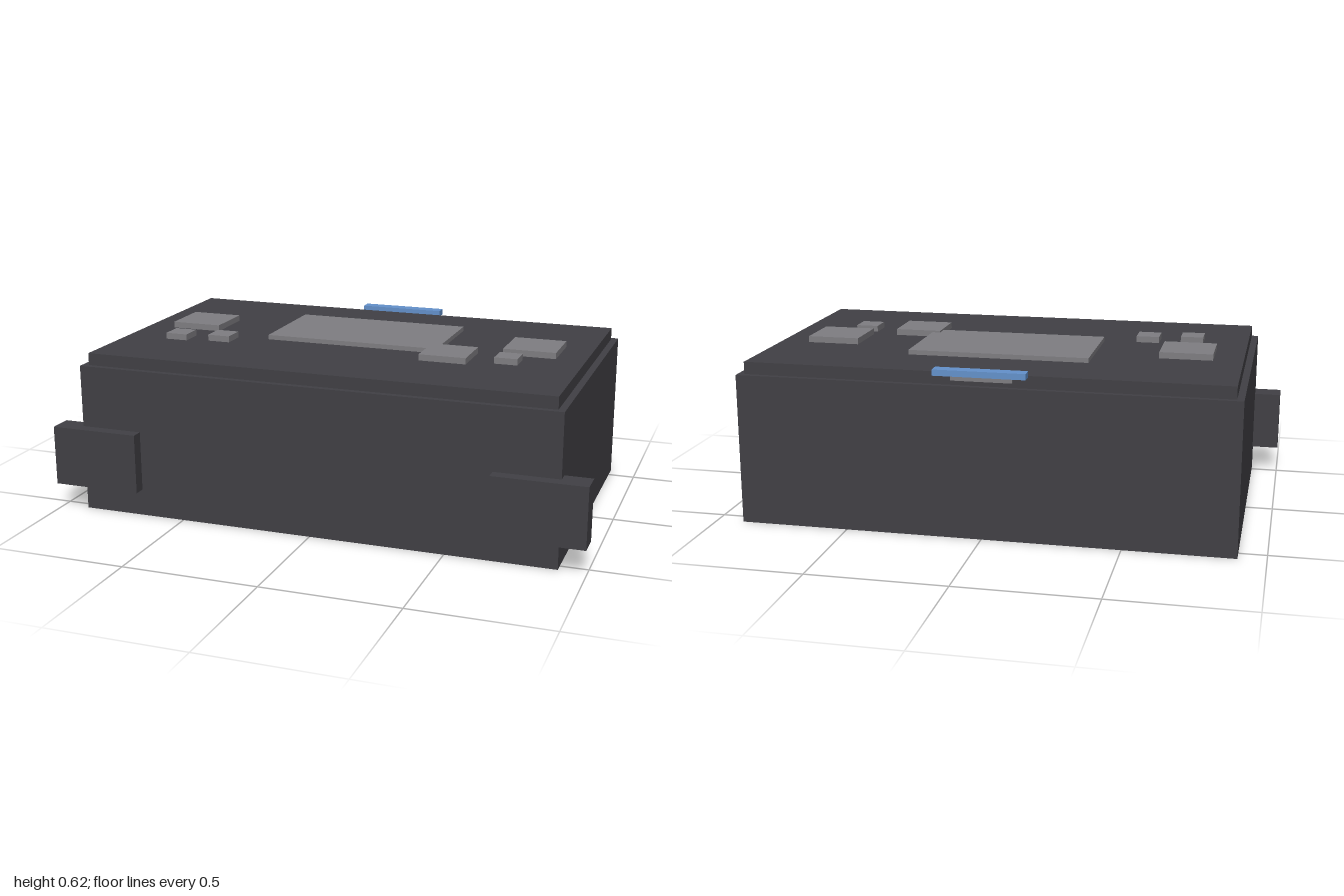
import * as THREE from 'three';

const dark = new THREE.MeshStandardMaterial({ name: 'charcoal', color: 0x414045 });
const grey = new THREE.MeshStandardMaterial({ name: 'grey', color: 0x7f7e82 });
const blue = new THREE.MeshStandardMaterial({ name: 'blue', color: 0x6492cc });

// Box spanning the given ranges on x, y and z
function slab(name, material, [x0, x1], [y0, y1], [z0, z1]) {
  const mesh = new THREE.Mesh(new THREE.BoxGeometry(x1 - x0, y1 - y0, z1 - z0), material);
  mesh.position.set((x0 + x1) / 2, (y0 + y1) / 2, (z0 + z1) / 2);
  mesh.name = name;
  return mesh;
}

export function createModel() {
  const model = new THREE.Group();
  model.name = 'case';

  // Main case and the slightly inset lid
  model.add(slab('body', dark, [-0.9, 0.9], [0, 0.555], [-0.556, 0.535]));
  model.add(slab('lid', dark, [-0.875, 0.875], [0.555, 0.6], [-0.535, 0.513]));

  // Corner blocks that overhang the front and sides
  model.add(slab('leftBracket', dark, [0.665, 1], [0.1, 0.323], [0.49, 0.58]));
  model.add(slab('rightBracket', dark, [-1, -0.665], [0.1, 0.323], [0.49, 0.58]));

  // Raised panels on the lid
  const top = 0.623;
  model.add(slab('screen', grey, [-0.335, 0.333], [0.6, 0.617], [-0.293, 0.091]));
  const panels = [
    ['rightPad', [-0.767, -0.572], [-0.164, 0.03]],
    ['leftPad', [0.57, 0.766], [-0.164, 0.03]],
    ['screenCornerPad', [0.302, 0.478], [0.037, 0.212]],
    ['rightOuterButton', [-0.708, -0.623], [0.126, 0.212]],
    ['rightInnerButton', [-0.543, -0.457], [0.1, 0.188]],
    ['leftButton', [0.57, 0.655], [0.08, 0.166]],
  ];
  for (const [name, x, z] of panels) model.add(slab(name, grey, x, [0.6, top], z));

  // Rear latch: blue tab with a small plate beneath it
  model.add(slab('latchTab', blue, [-0.165, 0.165], [0.595, 0.617], [-0.58, -0.534]));
  model.add(slab('latchPlate', grey, [-0.11, 0.11], [0.572, 0.595], [-0.543, -0.534]));

  return model;
}
